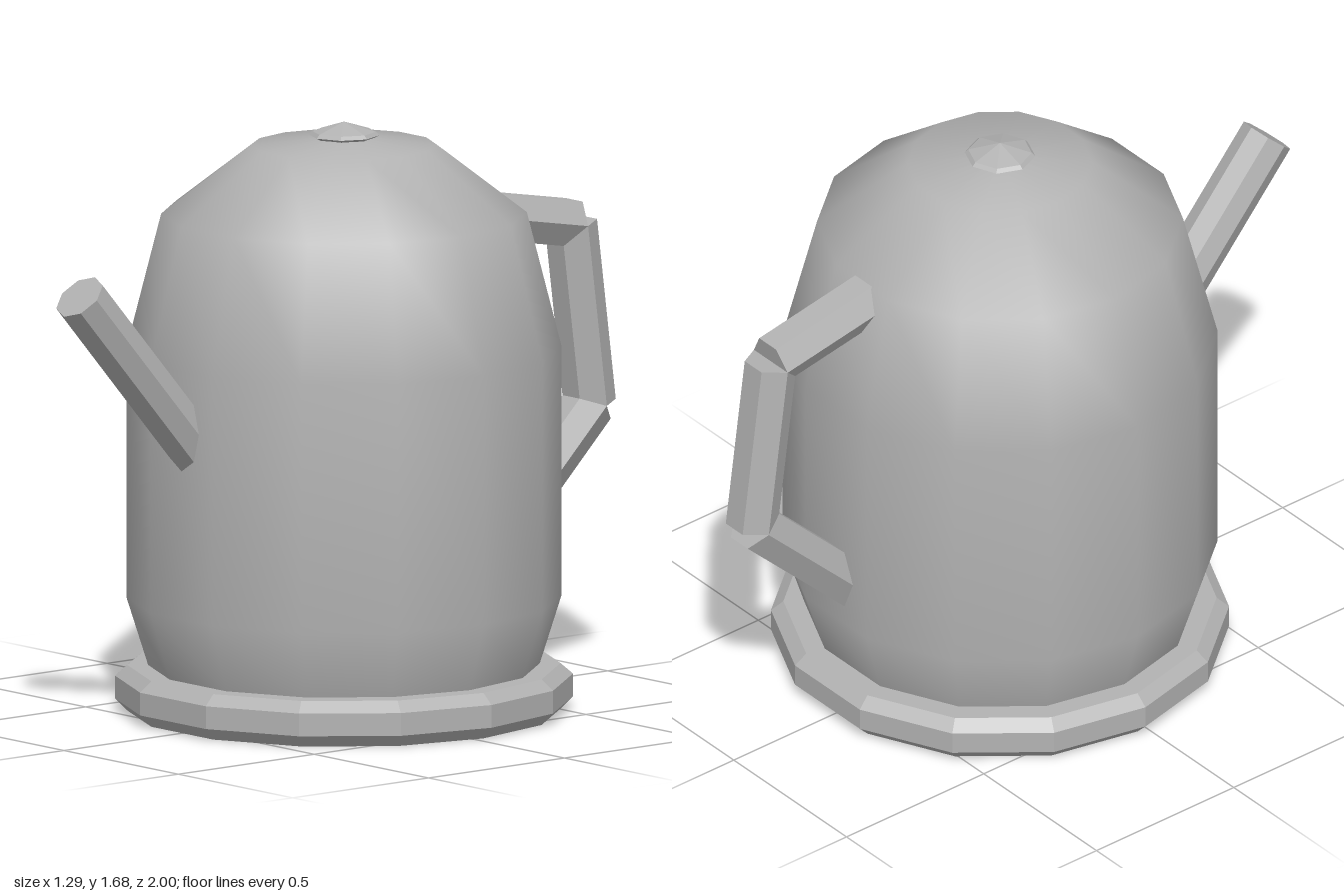
import * as THREE from 'three';

const smoothMetal = new THREE.MeshStandardMaterial({ color: 0xb2b2b2 });
smoothMetal.name = 'grey metal';
// same colour, faceted for the hard-edged parts
const facetedMetal = smoothMetal.clone();
facetedMetal.name = 'grey metal faceted';
facetedMetal.flatShading = true;

const AXIS_Z = -0.03; // the pot sits slightly behind the centre

function turned(name, profile, sides, material) {
  const points = profile.map(([r, y]) => new THREE.Vector2(r, y));
  const mesh = new THREE.Mesh(new THREE.LatheGeometry(points, sides, Math.PI / 2), material);
  mesh.name = name;
  mesh.position.z = AXIS_Z;
  return mesh;
}

// straight prism between two [y, z] points, with a corner on each side
function bar(name, [y0, z0], [y1, z1], radius, sides) {
  const a = new THREE.Vector3(0, y0, z0);
  const b = new THREE.Vector3(0, y1, z1);
  const geometry = new THREE.CylinderGeometry(radius, radius, a.distanceTo(b), sides, 1, false, Math.PI / 2);
  const mesh = new THREE.Mesh(geometry, facetedMetal);
  mesh.name = name;
  mesh.position.copy(a).lerp(b, 0.5);
  mesh.quaternion.setFromUnitVectors(new THREE.Vector3(0, 1, 0), b.sub(a).normalize());
  return mesh;
}

export function createModel() {
  const model = new THREE.Group();
  model.name = 'kettle';

  // chamfered foot
  model.add(turned('base', [[0, 0], [0.61, 0], [0.645, 0.035], [0.645, 0.1], [0.61, 0.13], [0, 0.13]], 14, facetedMetal));

  // smooth domed pot
  model.add(turned('body', [[0.55, 0.125], [0.613, 0.325], [0.613, 1.035], [0.515, 1.42], [0.26, 1.615], [0, 1.645]], 14, smoothMetal));

  // lid button
  model.add(turned('lidKnob', [[0.075, 1.63], [0.1, 1.643], [0.09, 1.653], [0, 1.681]], 8, facetedMetal));

  // octagonal spout
  model.add(bar('spout', [0.73, 0.45], [1.29, 0.943], 0.076, 8));

  // three-piece hexagonal handle
  const handle = new THREE.Group();
  handle.name = 'handle';
  const joints = [[1.365, -0.49], [1.297, -0.865], [0.775, -0.934], [0.405, -0.558]];
  const names = ['handleTop', 'handleGrip', 'handleBottom'];
  names.forEach((name, i) => handle.add(bar(name, joints[i], joints[i + 1], 0.075, 6)));
  model.add(handle);

  return model;
}
